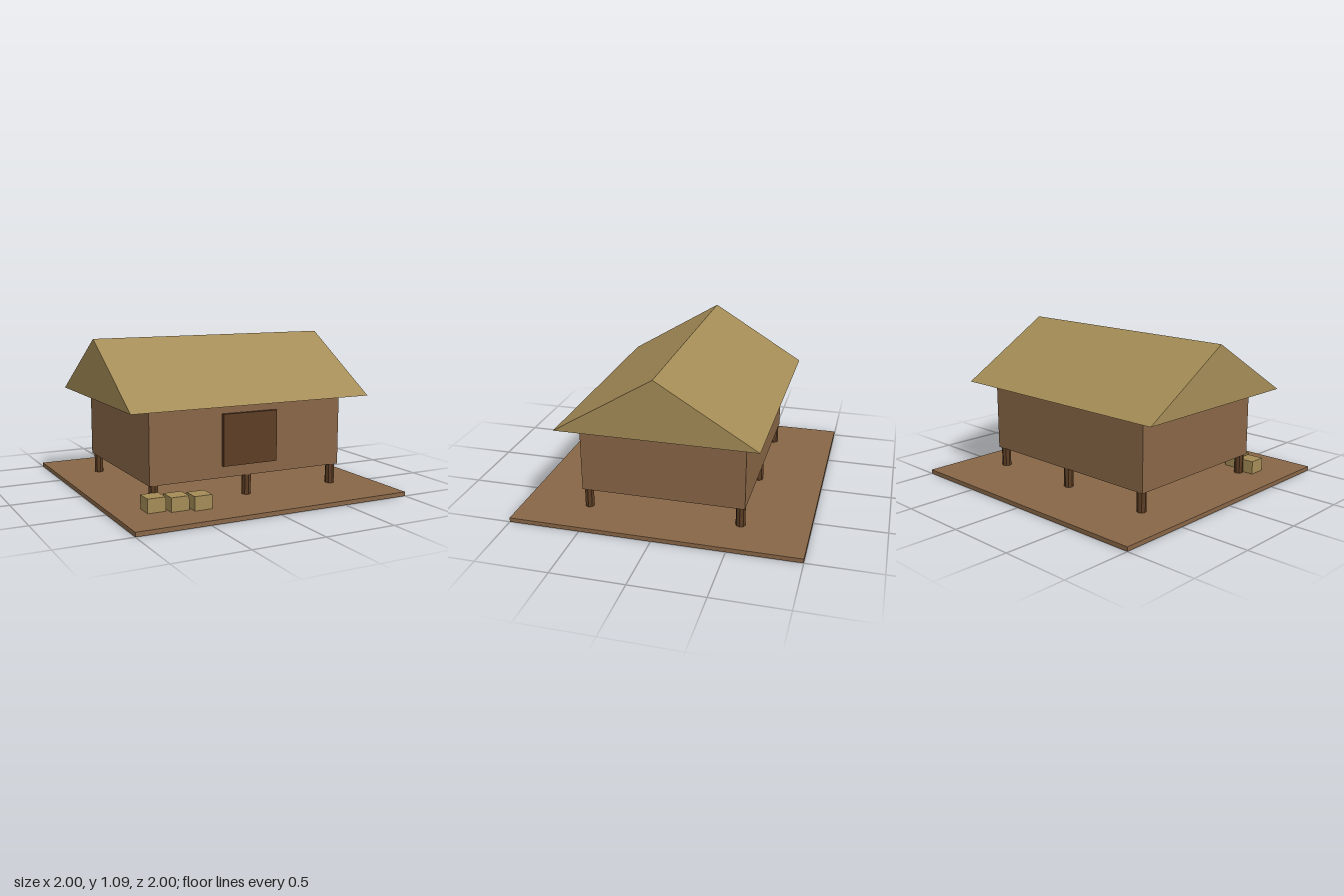
import * as THREE from 'three';

const material = (name, color) => {
  const m = new THREE.MeshStandardMaterial({ color, flatShading: true });
  m.name = name;
  return m;
};

export function createModel() {
  const hut = new THREE.Group();
  hut.name = 'stiltHut';
  const wood = material('brown wood', 0x886646);
  const darkWood = material('dark wood', 0x5c3d23);
  const thatch = material('straw thatch', 0xa48c56);

  const add = (name, geometry, mat, x = 0, y = 0, z = 0) => {
    const mesh = new THREE.Mesh(geometry, mat);
    mesh.name = name;
    mesh.position.set(x, y, z);
    hut.add(mesh);
    return mesh;
  };
  const box = (w, h, d) => new THREE.BoxGeometry(w, h, d);

  // Ground slab, raised room and door
  add('ground', box(2, 0.03, 2), wood, 0, 0.015, 0);
  add('walls', box(1.46, 0.5, 1.14), wood, 0, 0.42, 0);
  add('door', box(0.41, 0.355, 0.035), darkWood, 0, 0.428, 0.578);

  // Stilts: three along the front and three along the back
  for (const x of [-0.69, 0, 0.69]) {
    for (const z of [-0.535, 0.535]) {
      add('stilt', new THREE.CylinderGeometry(0.033, 0.033, 0.17, 8), darkWood, x, 0.09, z);
    }
  }

  // Gabled roof: triangle extruded along x
  const gable = new THREE.Shape([
    new THREE.Vector2(-0.685, 0.67),
    new THREE.Vector2(0.685, 0.67),
    new THREE.Vector2(0, 1.085),
  ]);
  const roof = new THREE.ExtrudeGeometry(gable, { depth: 1.79, bevelEnabled: false });
  roof.translate(0, 0, -0.895).rotateY(Math.PI / 2);
  add('roof', roof, thatch);

  // Staggered crates by the front corner
  for (let i = 0; i < 3; i++) {
    add('crate', box(0.125, 0.095, 0.125), thatch, -0.73 + i * 0.145, 0.0775, 0.625 + i * 0.04);
  }
  return hut;
}
